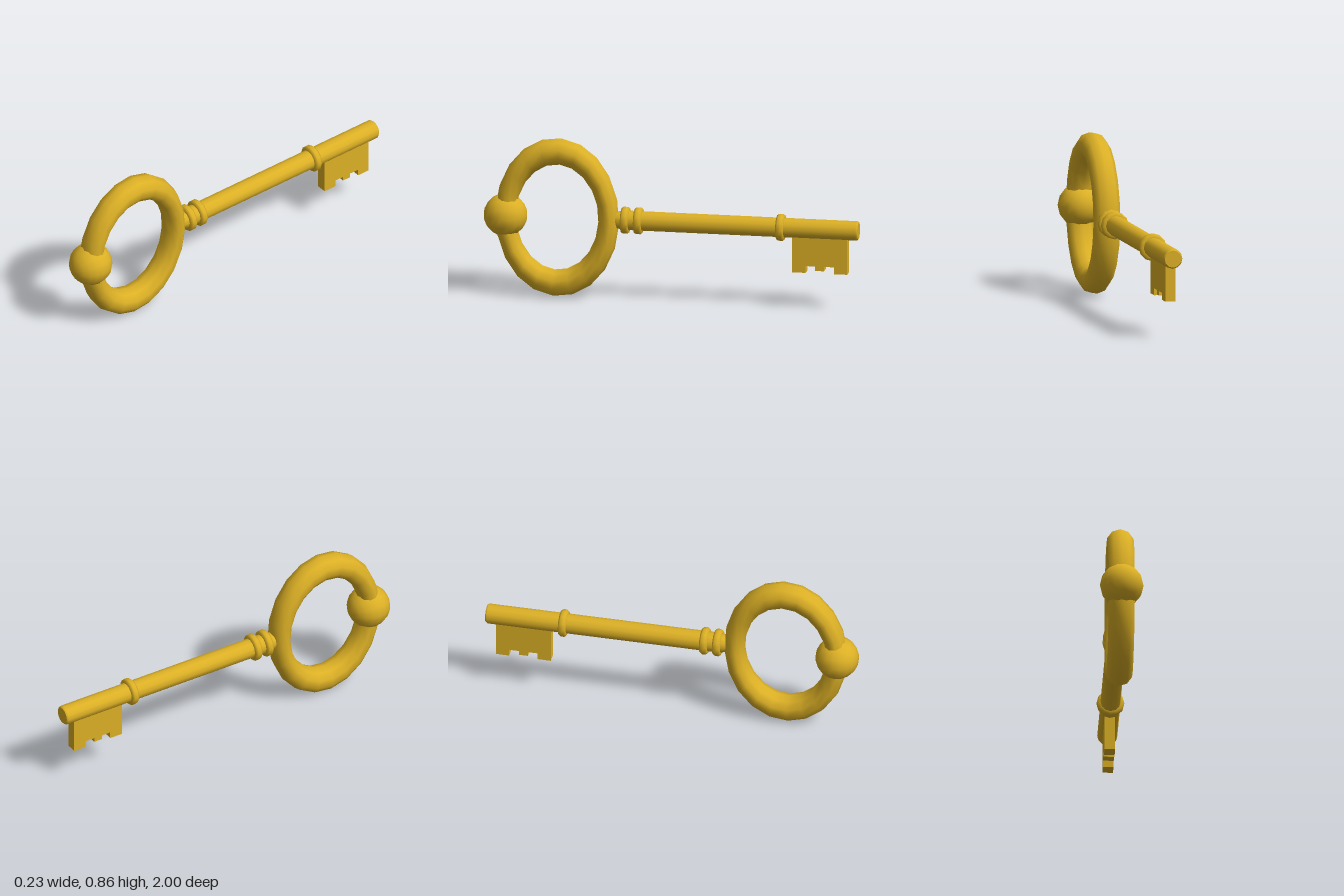
import * as THREE from 'three';

export function createModel() {
  const key = new THREE.Group();
  key.name = 'key';
  const gold = new THREE.MeshStandardMaterial({ color: 0xdcb025 });
  gold.name = 'gold';
  const axisY = 0.433;

  const add = (name, geometry, y, z) => {
    const mesh = new THREE.Mesh(geometry, gold);
    mesh.name = name;
    mesh.position.set(0, y, z);
    key.add(mesh);
    return mesh;
  };

  // Turned part around the key's long axis; profile is [radius, z] from back to front
  const turned = (name, profile, sides) => {
    const points = profile.map(([r, z]) => new THREE.Vector2(r, z));
    const geometry = new THREE.LatheGeometry(points, sides);
    geometry.rotateX(Math.PI / 2);
    return add(name, geometry, axisY, 0);
  };

  // Oval bow: a torus squeezed along the key
  const bow = new THREE.TorusGeometry(0.358, 0.072, 10, 20);
  bow.rotateZ(THREE.MathUtils.degToRad(3.5));
  bow.rotateY(-Math.PI / 2);
  bow.scale(1, 1, 0.77);
  add('bow', bow, axisY, 0.61);

  // Ball at the end of the bow
  const ball = new THREE.SphereGeometry(0.115, 14, 10);
  ball.rotateX(Math.PI / 2);
  add('ball', ball, axisY, 0.886);

  // Shaft with a small bevel at the tip
  turned('shaft', [[0.046, -1], [0.053, -0.99], [0.053, 0.255], [0.043, 0.3]], 12);
  const tip = new THREE.CircleGeometry(0.046, 12);
  tip.rotateY(Math.PI);
  add('shaftTip', tip, axisY, -1);

  // Collars
  [0.245, 0.175, -0.585].forEach((z, i) => {
    turned('collar' + (i + 1), [
      [0.05, z - 0.02], [0.065, z - 0.02], [0.073, z - 0.009],
      [0.073, z + 0.009], [0.065, z + 0.02], [0.05, z + 0.02],
    ], 12);
  });

  // Notched bit below the shaft; shape x runs toward the tip
  const outline = [
    [0.65, 0.41], [0.65, 0.199], [0.722, 0.199], [0.722, 0.236], [0.773, 0.236], [0.773, 0.212],
    [0.82, 0.212], [0.82, 0.236], [0.874, 0.236], [0.874, 0.199], [0.944, 0.199], [0.944, 0.41],
  ];
  const shape = new THREE.Shape(outline.map(([x, y]) => new THREE.Vector2(x, y)));
  const bit = new THREE.ExtrudeGeometry(shape, { depth: 0.056, bevelEnabled: false });
  bit.translate(0, 0, -0.028);
  bit.rotateY(Math.PI / 2);
  add('bit', bit, 0, 0);

  return key;
}
